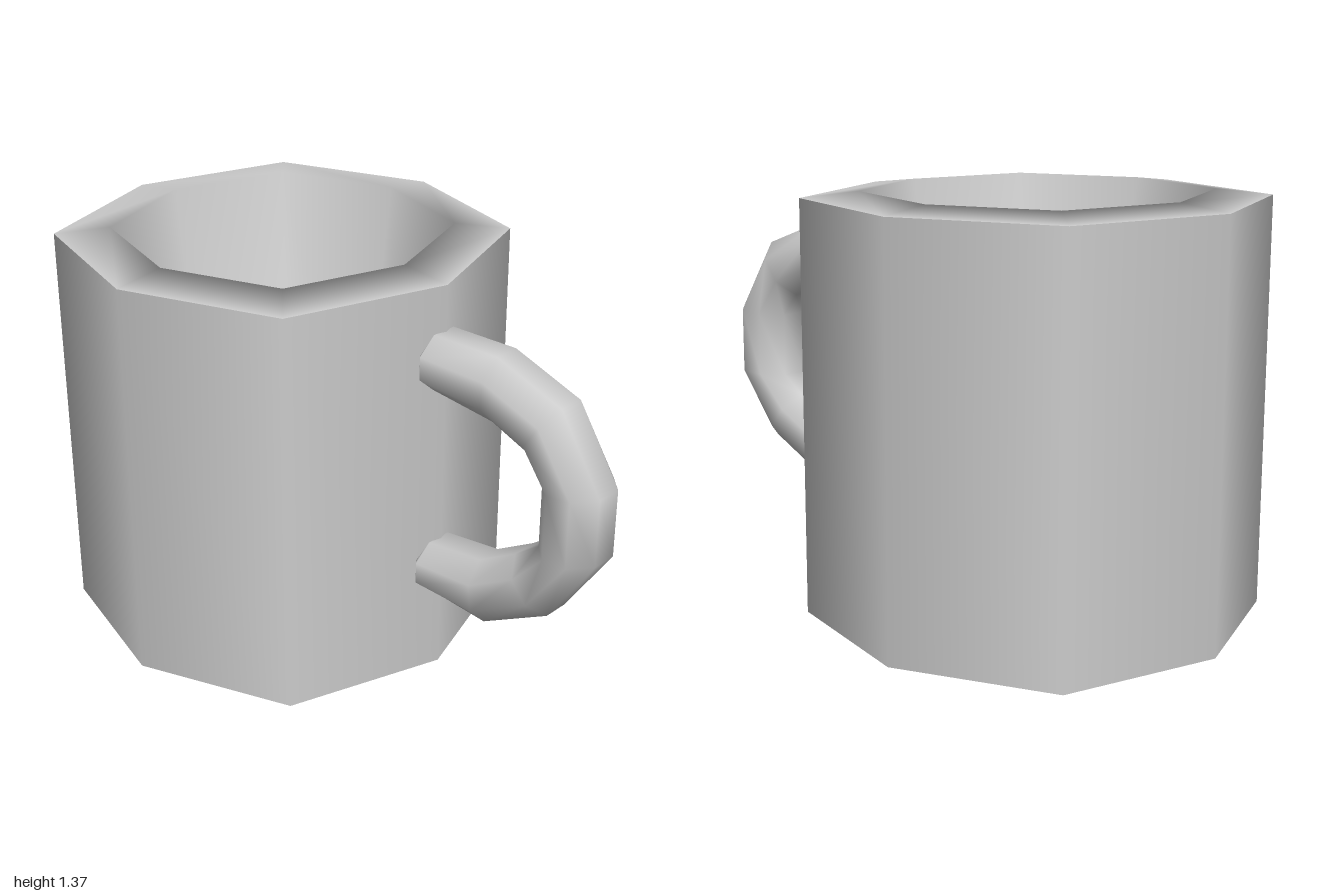
import * as THREE from 'three';

const material = new THREE.MeshStandardMaterial({ color: 0xcccccc });

// Eight-sided turned part, its diagonal corners pushed out a little
function turned(name, profile) {
  const points = profile.map(([r, y]) => new THREE.Vector2(r, y));
  const geometry = new THREE.LatheGeometry(points, 8);
  const p = geometry.attributes.position;
  for (let i = 0; i < p.count; i++) {
    if (Math.abs(p.getX(i)) > 1e-3 && Math.abs(p.getZ(i)) > 1e-3) {
      p.setX(i, p.getX(i) * 1.06);
      p.setZ(i, p.getZ(i) * 1.06);
    }
  }
  const mesh = new THREE.Mesh(geometry, material);
  mesh.name = name;
  mesh.position.x = -0.31;
  return mesh;
}

// Handle: octagonal sections spanning paired outer and inner points
function handleGeometry() {
  const sections = [
    [0.35, 1.18, 0.35, 1.04, 0.085], [0.37, 1.2, 0.37, 1.02, 0.108],
    [0.61, 1.2, 0.6, 0.99, 0.108], [0.85, 1.11, 0.73, 0.935, 0.108],
    [1, 0.87, 0.795, 0.855, 0.108], [1, 0.65, 0.795, 0.64, 0.108],
    [0.84, 0.415, 0.71, 0.58, 0.108], [0.6, 0.29, 0.575, 0.505, 0.108],
    [0.37, 0.315, 0.37, 0.485, 0.108], [0.35, 0.33, 0.35, 0.47, 0.085],
  ];
  const sides = 8;
  const flat = Math.cos(Math.PI / sides);
  const positions = [];
  const index = [];
  for (const [ox, oy, ix, iy, depth] of sections) {
    for (let j = 0; j < sides; j++) {
      const a = ((j + 0.5) / sides) * Math.PI * 2;
      const t = 0.5 + (0.5 * Math.cos(a)) / flat;
      positions.push(ix + (ox - ix) * t, iy + (oy - iy) * t, (depth * Math.sin(a)) / flat);
    }
  }
  const last = sections.length - 1;
  for (let i = 0; i < last; i++) {
    for (let j = 0; j < sides; j++) {
      const a = i * sides + j;
      const b = i * sides + (j + 1) % sides;
      index.push(a, b, a + sides, b, b + sides, a + sides);
    }
  }
  // End caps
  for (let j = 1; j < sides - 1; j++) {
    index.push(0, j + 1, j);
    index.push(last * sides, last * sides + j, last * sides + j + 1);
  }
  const geometry = new THREE.BufferGeometry();
  geometry.setAttribute('position', new THREE.Float32BufferAttribute(positions, 3));
  geometry.setIndex(index);
  geometry.computeVertexNormals();
  return geometry;
}

export function createModel() {
  const group = new THREE.Group();
  group.name = 'mug';

  // Body: slightly domed underside, wall, then rim running smoothly into the inside
  group.add(
    turned('base', [[0, 0.005], [0.69, 0.022]]),
    turned('outerWall', [[0.69, 0.022], [0.69, 1.35]]),
    turned('rimAndInside', [[0.69, 1.35], [0.52, 1.37], [0.35, 0.25], [0, 0.15]]),
  );

  const handle = new THREE.Mesh(handleGeometry(), material);
  handle.name = 'handle';
  group.add(handle);
  return group;
}
